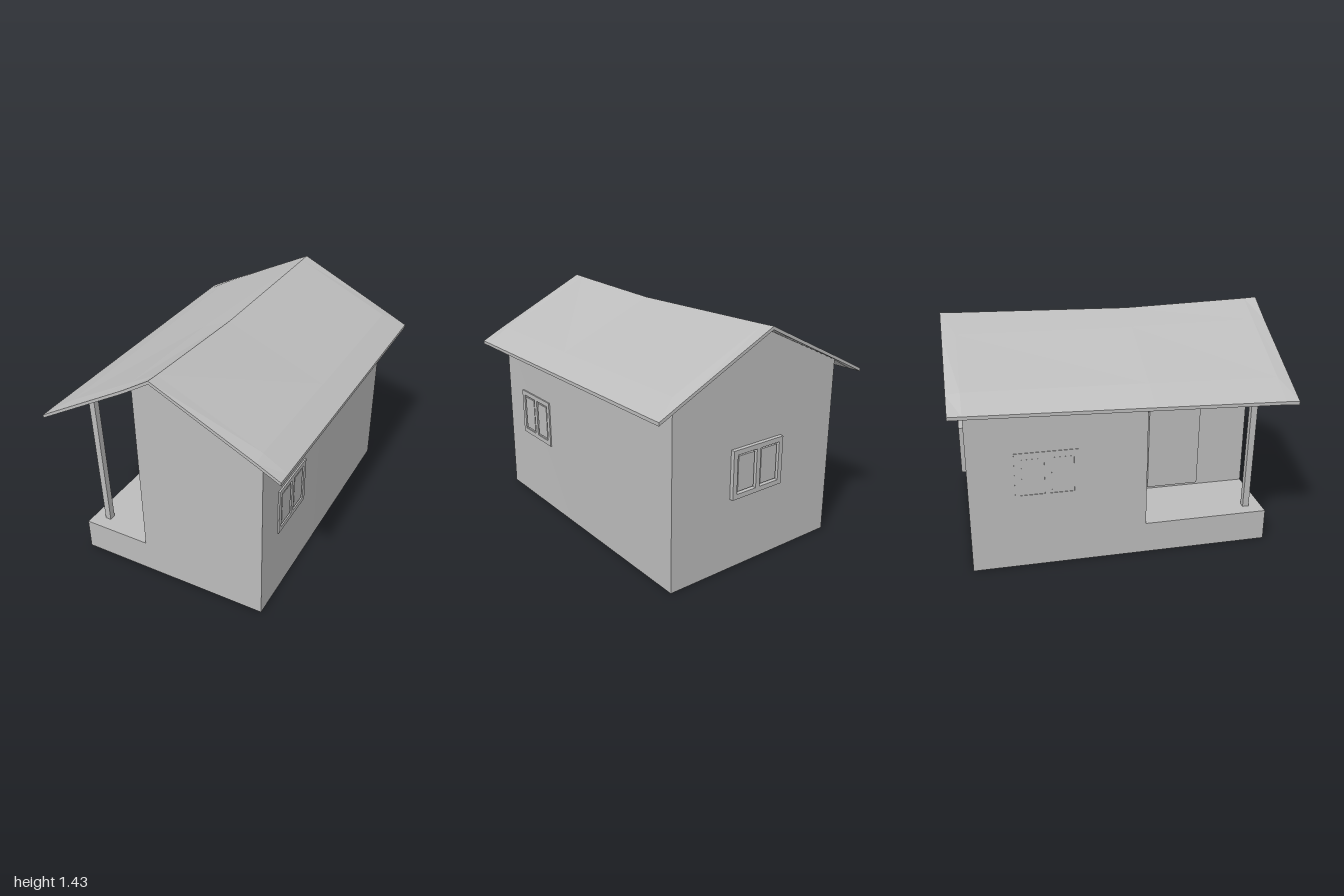
import * as THREE from 'three';

const grey = new THREE.MeshStandardMaterial({ color: 0xbcbcbc });
grey.name = 'plain grey';

// Closed solid through matching counter-clockwise [x, y] outlines, listed back to front
function loft(sections) {
  const pos = [];
  const tri = (a, b, c) => pos.push(...a, ...b, ...c);
  const rings = sections.map(({ z, pts }) => pts.map(([x, y]) => [x, y, z]));
  for (let i = 0; i < rings.length - 1; i++) {
    const back = rings[i], front = rings[i + 1], n = back.length;
    for (let j = 0; j < n; j++) {
      const k = (j + 1) % n;
      tri(back[j], back[k], front[k]);
      tri(back[j], front[k], front[j]);
    }
  }
  const cap = (ring, flip) => {
    const outline = ring.map(p => new THREE.Vector2(p[0], p[1]));
    for (const [a, b, c] of THREE.ShapeUtils.triangulateShape(outline, [])) {
      if (flip) tri(ring[a], ring[c], ring[b]);
      else tri(ring[a], ring[b], ring[c]);
    }
  };
  cap(rings[0], true);
  cap(rings[rings.length - 1], false);
  const g = new THREE.BufferGeometry();
  g.setAttribute('position', new THREE.Float32BufferAttribute(pos, 3));
  g.computeVertexNormals();
  return g;
}

// Same outline from z0 to z1
const prism = (pts, z0, z1) => loft([{ z: z0, pts }, { z: z1, pts }]);

// Roof top from left eave to right eave, at rows from back to front
const roofRows = [
  { z: -1, pts: [[-0.755, 1.065], [-0.61, 1.137], [-0.18, 1.345], [0, 1.433], [0.615, 1.137], [0.76, 1.066]] },
  { z: -0.92, pts: [[-0.756, 1.063], [-0.61, 1.145], [-0.18, 1.346], [0, 1.43], [0.615, 1.145], [0.76, 1.065]] },
  { z: 0.14, pts: [[-0.762, 1.03], [-0.61, 1.12], [-0.18, 1.33], [-0.003, 1.405], [0.615, 1.14], [0.756, 1.06]] },
  { z: 0.92, pts: [[-0.767, 1.005], [-0.61, 1.1], [-0.18, 1.335], [-0.007, 1.428], [0.612, 1.14], [0.753, 1.056]] },
  { z: 1, pts: [[-0.768, 1.0], [-0.61, 1.088], [-0.18, 1.327], [-0.008, 1.432], [0.612, 1.128], [0.752, 1.055]] },
];

// Wall outline that ends inside the roof slab; first is the leftmost roof column it reaches
function wallSection(row, first, left) {
  const top = row.pts.slice(first, 5).map(([x, y]) => [x, y - 0.012]).reverse();
  return { z: row.z, pts: [[left, 0], [0.618, 0], ...top] };
}

// Two-pane window facing +z, with its back at z = 0
function windowUnit(w, h, depth) {
  const rim = 0.03, bar = 0.015;
  const rect = (path, x0, y0, x1, y1) =>
    path.moveTo(x0, y0).lineTo(x1, y0).lineTo(x1, y1).lineTo(x0, y1).closePath();
  const shape = new THREE.Shape();
  rect(shape, -w / 2, -h / 2, w / 2, h / 2);
  const group = new THREE.Group();
  for (const s of [-1, 1]) {
    const a = s * bar, b = s * (w / 2 - rim);
    const hole = new THREE.Path();
    rect(hole, Math.min(a, b), -h / 2 + rim, Math.max(a, b), h / 2 - rim);
    shape.holes.push(hole);
    // Pane set back inside the frame
    const pane = new THREE.Mesh(
      new THREE.BoxGeometry(w / 2 - rim - bar - 0.024, h - 2 * rim - 0.024, depth * 0.7), grey);
    pane.name = 'windowPane';
    pane.position.set((a + b) / 2, 0, depth * 0.35);
    group.add(pane);
  }
  const frame = new THREE.Mesh(
    new THREE.ExtrudeGeometry(shape, { depth, bevelEnabled: false }), grey);
  frame.name = 'windowFrame';
  group.add(frame);
  return group;
}

export function createModel() {
  const model = new THREE.Group();
  model.name = 'house';
  const add = (name, geometry) => {
    const mesh = new THREE.Mesh(geometry, grey);
    mesh.name = name;
    model.add(mesh);
  };

  // Sagging roof slab
  add('roof', loft(roofRows.map(({ z, pts }) => ({
    z,
    pts: [...pts.map(([x, y]) => [x, y - 0.02]), ...[...pts].reverse()],
  }))));

  // Full-width rear walls and narrower front room
  const [, rear, middle, front] = roofRows;
  add('rearWalls', loft([wallSection(rear, 1, -0.61), wallSection(middle, 1, -0.61)]));
  add('frontRoomWalls', loft([wallSection(middle, 2, -0.172), wallSection(front, 2, -0.172)]));

  // Porch floor, leaning post and door
  add('porchFloor', prism([[-0.61, 0], [-0.172, 0], [-0.172, 0.2], [-0.61, 0.2]], 0.14, 0.92));
  add('porchPost', prism([[-0.532, 0.2], [-0.494, 0.2], [-0.516, 1.125], [-0.554, 1.115]], 0.8, 0.84));
  add('door', prism([[-0.192, 0.22], [-0.172, 0.22], [-0.176, 0.85], [-0.205, 0.85]], 0.26, 0.6));

  // Windows on both sides and at the back
  const windows = [
    ['rightWallWindow', 0.36, 0.01, [0.614, 0.6, 0.54], Math.PI / 2],
    ['leftWallWindow', 0.38, 0.01, [-0.604, 0.6, -0.46], -Math.PI / 2],
    ['backWindow', 0.38, 0.026, [0.01, 0.6, -0.919], Math.PI],
  ];
  for (const [name, width, depth, position, turn] of windows) {
    const unit = windowUnit(width, 0.3, depth);
    unit.name = name;
    unit.position.set(...position);
    unit.rotation.y = turn;
    model.add(unit);
  }
  return model;
}
